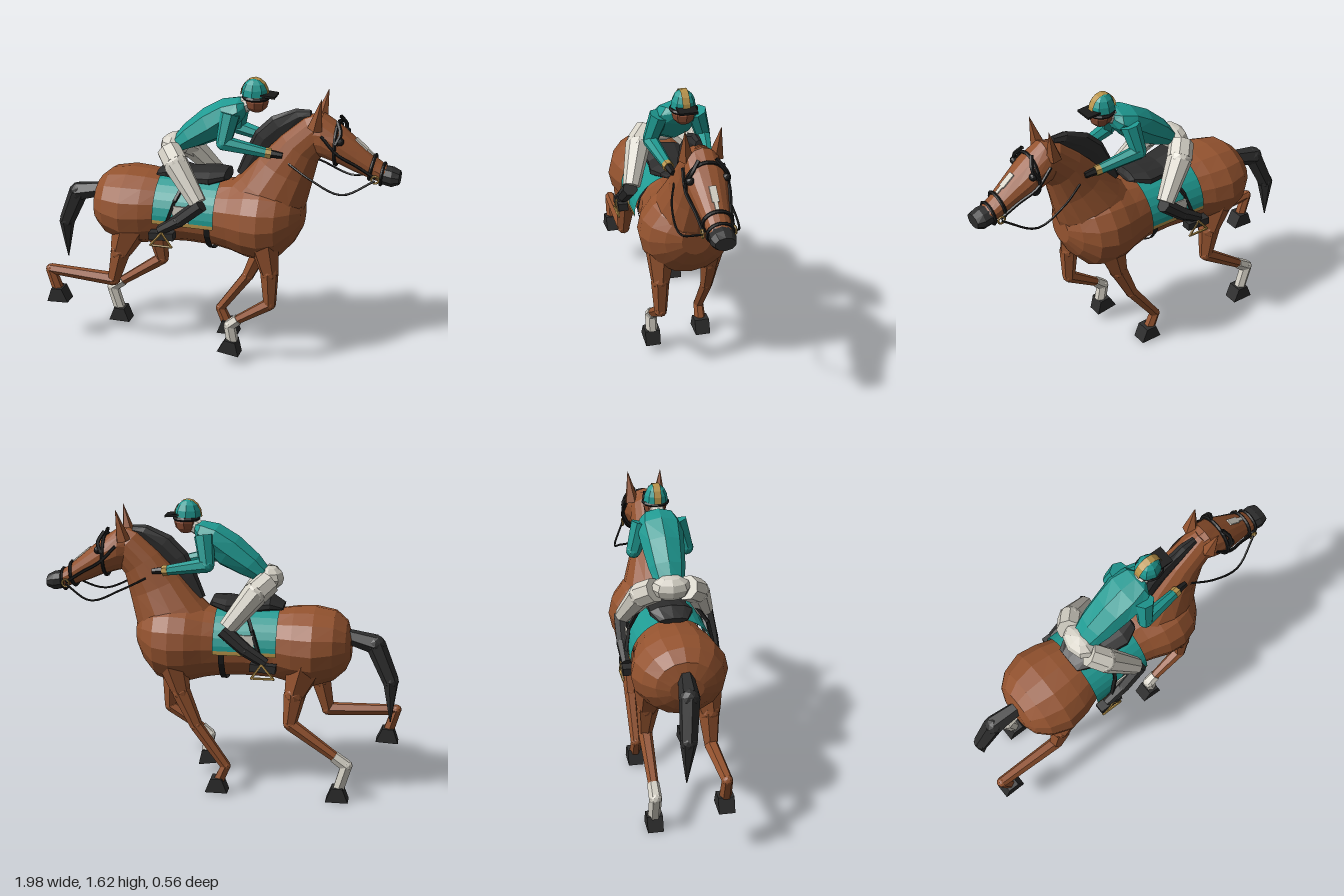
import * as THREE from 'three';

const mat = (name, color, side = THREE.FrontSide) =>
  Object.assign(new THREE.MeshStandardMaterial({ color, flatShading: true, side }), { name });

export function createModel() {
  const root = new THREE.Group();
  const coat = mat('chestnut coat', 0x94532f), black = mat('black hair and hooves', 0x2d2d2d);
  const leather = mat('dark leather', 0x1b1b1b, THREE.DoubleSide), teal = mat('teal silk', 0x1f9a92, THREE.DoubleSide);
  const white = mat('off white', 0xd5d1c6), gold = mat('gold', 0xb8934a, THREE.DoubleSide), skin = mat('skin', 0x8a4c33);
  const V = (x, y, z) => new THREE.Vector3(x, y, z);

  const add = (name, geo, m, pos = [0, 0, 0], rotZ = 0) => {
    const mesh = new THREE.Mesh(geo, m);
    mesh.name = name;
    mesh.position.set(...pos);
    mesh.rotation.z = rotZ;
    root.add(mesh);
    return mesh;
  };

  // Skin over elliptical rings: [topX, topY, bottomX, bottomY, halfWidth]
  const ringPoint = ([tx, ty, bx, by, w], a) => V((tx + bx) / 2 + (tx - bx) / 2 * Math.cos(a),
    (ty + by) / 2 + (ty - by) / 2 * Math.cos(a), w * Math.sin(a));
  const loft = (name, rings, m, sides = 14) => {
    const pos = [], idx = [], n = rings.length;
    rings.forEach(r => {
      for (let j = 0; j < sides; j++) pos.push(...ringPoint(r, j / sides * Math.PI * 2).toArray());
    });
    [rings[0], rings[n - 1]].forEach(r => pos.push((r[0] + r[2]) / 2, (r[1] + r[3]) / 2, 0));
    for (let j = 0; j < sides; j++) {
      const k = (j + 1) % sides, e = (n - 1) * sides;
      for (let i = 0; i < n - 1; i++) {
        const a = i * sides + j, b = i * sides + k;
        idx.push(a, b, a + sides, b, b + sides, a + sides);
      }
      idx.push(n * sides, k, j, n * sides + 1, e + j, e + k);
    }
    const g = new THREE.BufferGeometry();
    g.setAttribute('position', new THREE.Float32BufferAttribute(pos, 3));
    g.setIndex(idx);
    g.computeVertexNormals();
    return add(name, g, m);
  };

  // Chain of tapered segments through points [x, y, z, radius]
  const limb = (name, pts, m, sides = 6) => {
    for (let i = 0; i < pts.length - 1; i++) {
      const a = V(...pts[i]), b = V(...pts[i + 1]), d = b.clone().sub(a);
      const seg = add(name, new THREE.CylinderGeometry(pts[i + 1][3], pts[i][3], d.length(), sides), m,
        a.clone().add(b).multiplyScalar(0.5).toArray());
      seg.quaternion.setFromUnitVectors(V(0, 1, 0), d.normalize());
      if (i) add(name + 'Joint', new THREE.IcosahedronGeometry(pts[i][3] * 0.97, 1), m, pts[i].slice(0, 3));
    }
  };
  const tube = (name, pts, r, m, closed = false, n = 16) =>
    add(name, new THREE.TubeGeometry(new THREE.CatmullRomCurve3(pts, closed, 'centripetal'), n, r, 5, closed), m);
  const strap = (name, ring, r) =>
    tube(name, Array.from({ length: 12 }, (_, i) => ringPoint(ring, i / 12 * Math.PI * 2)), r, leather, true, 24);

  // Thin sheet wrapped over the back between two angles
  const drape = (name, x0, x1, a0, a1, ry, rz, m) => {
    const g = new THREE.PlaneGeometry(1, 1, 2, 16), p = g.attributes.position;
    for (let i = 0; i < p.count; i++) {
      const a = THREE.MathUtils.degToRad(a0 + (a1 - a0) * (p.getY(i) + 0.5));
      p.setXYZ(i, x0 + (x1 - x0) * (p.getX(i) + 0.5), 0.838 + ry * Math.cos(a), rz * Math.sin(a));
    }
    g.computeVertexNormals();
    return add(name, g, m);
  };
  const hoof = (x, y, z, tilt) => {
    const g = new THREE.BoxGeometry(0.125, 0.08, 0.085), p = g.attributes.position;
    for (let i = 0; i < p.count; i++) if (p.getY(i) > 0) p.setX(i, p.getX(i) * 0.5);
    add('hoof', g, black, [x, y, z], tilt);
  };

  // Horse body, neck and head
  const barrel = [[-0.7, 0.9, 0.77, 0.09], [-0.675, 0.98, 0.71, 0.16], [-0.61, 1.035, 0.65, 0.22], [-0.5, 1.055, 0.615, 0.258],
    [-0.39, 1.05, 0.625, 0.24], [-0.29, 1.035, 0.65, 0.205], [-0.15, 1.02, 0.655, 0.185], [0, 1.02, 0.65, 0.185],
    [0.1, 1.04, 0.635, 0.215], [0.19, 1.07, 0.61, 0.25], [0.28, 1.08, 0.6, 0.26], [0.37, 1.06, 0.63, 0.23],
    [0.44, 1.02, 0.71, 0.16], [0.485, 0.96, 0.8, 0.08]];
  loft('body', barrel.map(([x, t, b, w]) => [x, t, x, b, w]), coat, 16);
  loft('neck', [[0.04, 0.99, 0.43, 0.76, 0.2], [0.13, 1.08, 0.5, 0.94, 0.165], [0.235, 1.2, 0.53, 1.07, 0.12],
    [0.36, 1.335, 0.56, 1.2, 0.095], [0.48, 1.44, 0.62, 1.28, 0.085], [0.54, 1.46, 0.64, 1.34, 0.06]], coat);
  loft('head', [[0.49, 1.44, 0.54, 1.23, 0.075], [0.58, 1.465, 0.59, 1.22, 0.1], [0.68, 1.4, 0.68, 1.195, 0.105],
    [0.78, 1.32, 0.76, 1.16, 0.085], [0.88, 1.235, 0.86, 1.125, 0.065], [0.93, 1.2, 0.92, 1.11, 0.06]], coat);
  loft('muzzle', [[0.915, 1.205, 0.9, 1.105, 0.063], [0.96, 1.2, 0.96, 1.093, 0.068], [1, 1.18, 1, 1.11, 0.055]], black, 10);
  loft('mane', [[0.11, 1.09, 0.18, 1.06, 0.022], [0.16, 1.22, 0.25, 1.16, 0.03], [0.21, 1.33, 0.32, 1.26, 0.032],
    [0.3, 1.42, 0.39, 1.32, 0.032], [0.43, 1.475, 0.47, 1.4, 0.03], [0.51, 1.475, 0.52, 1.42, 0.02]], black, 8);
  add('blaze', new THREE.BoxGeometry(0.085, 0.008, 0.036), white, [0.79, 1.313, 0], -0.7);
  add('blazeTip', new THREE.BoxGeometry(0.05, 0.008, 0.02), white, [0.835, 1.275, 0], -0.7);
  limb('tail', [[-0.66, 0.9, 0, 0.04], [-0.83, 0.86, -0.015, 0.055], [-0.92, 0.66, -0.035, 0.045], [-0.925, 0.43, -0.045, 0.003]], black);

  // Legs, in a gallop
  limb('frontLeg', [[0.3, 0.76, 0.15, 0.085], [0.34, 0.58, 0.16, 0.052], [0.345, 0.39, 0.16, 0.036], [0.16, 0.265, 0.16, 0.026]], coat);
  limb('frontSock', [[0.165, 0.268, 0.16, 0.032], [0.115, 0.225, 0.16, 0.034], [0.132, 0.13, 0.16, 0.034]], white);
  hoof(0.12, 0.1, 0.16, -0.15);
  limb('frontLeg', [[0.27, 0.76, -0.15, 0.085], [0.22, 0.58, -0.155, 0.052], [0.135, 0.39, -0.16, 0.036],
    [-0.03, 0.16, -0.16, 0.029], [0.01, 0.07, -0.16, 0.033]], coat);
  hoof(0.02, 0.052, -0.16, 0);
  limb('hindLeg', [[-0.46, 0.76, 0.13, 0.11], [-0.52, 0.6, 0.155, 0.062], [-0.565, 0.42, 0.16, 0.038],
    [-0.95, 0.435, 0.16, 0.03], [-0.91, 0.31, 0.16, 0.033]], coat);
  hoof(-0.905, 0.287, 0.16, 0.05);
  limb('hindLeg', [[-0.46, 0.76, -0.13, 0.11], [-0.41, 0.6, -0.155, 0.062], [-0.385, 0.43, -0.165, 0.038], [-0.64, 0.25, -0.165, 0.028]], coat);
  limb('hindSock', [[-0.63, 0.255, -0.165, 0.033], [-0.7, 0.205, -0.165, 0.035], [-0.66, 0.07, -0.165, 0.034]], white);
  hoof(-0.652, 0.04, -0.165, 0);

  // Saddle, cloth and girth
  drape('saddleCloth', -0.31, 0.035, -94, 94, 0.213, 0.225, teal);
  drape('girth', -0.025, 0.008, -180, 180, 0.207, 0.2, leather);
  loft('saddle', [[-0.33, 1.065, -0.325, 1.035, 0.08], [-0.26, 1.11, -0.26, 1.03, 0.12], [-0.14, 1.085, -0.14, 1.01, 0.11],
    [-0.02, 1.1, -0.02, 1.01, 0.13], [0.06, 1.1, 0.06, 1.04, 0.09], [0.075, 1.07, 0.075, 1.045, 0.06]], black, 10);

  // Bridle straps around the head
  strap('noseband', [0.865, 1.255, 0.84, 1.125, 0.076], 0.01);
  strap('bitStrap', [0.915, 1.215, 0.9, 1.1, 0.068], 0.009);
  strap('crownStrap', [0.665, 1.425, 0.66, 1.19, 0.111], 0.01);

  // Rider: torso, neck, head and cap
  loft('torso', [[-0.25, 1.25, -0.17, 1.19, 0.08], [-0.19, 1.33, -0.08, 1.22, 0.1], [-0.08, 1.43, 0.03, 1.27, 0.115],
    [0.03, 1.495, 0.1, 1.34, 0.125], [0.12, 1.51, 0.15, 1.4, 0.1], [0.155, 1.5, 0.165, 1.44, 0.05]], teal, 8);
  limb('collar', [[0.13, 1.46, 0, 0.045], [0.19, 1.492, 0, 0.04]], white, 8);
  add('riderHead', new THREE.SphereGeometry(0.065, 8, 6), skin, [0.217, 1.5, 0]);
  add('cap', new THREE.SphereGeometry(0.073, 8, 4, 0, Math.PI * 2, 0, Math.PI / 2), teal, [0.205, 1.53, 0]).scale.set(1, 1.26, 0.92);
  add('capStripe', new THREE.CylinderGeometry(0.0755, 0.0755, 0.04, 8, 1, true, Math.PI / 2, Math.PI).rotateX(Math.PI / 2),
    gold, [0.205, 1.53, 0]).scale.y = 1.25;
  add('goggleBand', new THREE.TorusGeometry(0.066, 0.011, 5, 12).rotateX(Math.PI / 2), leather, [0.213, 1.52, 0]);
  add('capPeak', new THREE.BoxGeometry(0.08, 0.012, 0.1), leather, [0.285, 1.538, 0], -0.08);
  add('riderSeat', new THREE.SphereGeometry(0.075, 8, 6), white, [-0.245, 1.205, 0]).scale.set(1.05, 0.9, 1.45);

  for (const s of [1, -1]) {
    // Ears, eyes, cheek straps and reins
    const ear = add('ear', new THREE.ConeGeometry(0.042, 0.18, 5), coat, [0.57, 1.485, s * 0.085], -0.2);
    ear.rotation.x = s * 0.1;
    add('eye', new THREE.IcosahedronGeometry(0.022, 1), leather, [0.69, 1.345, s * 0.094]);
    tube('cheekStrap', [V(0.59, 1.37, s * 0.105), V(0.68, 1.28, s * 0.113), V(0.78, 1.22, s * 0.092), V(0.88, 1.155, s * 0.076)], 0.009, leather);
    tube('browStrap', [V(0.665, 1.44, s * 0.045), V(0.69, 1.385, s * 0.088), V(0.67, 1.33, s * 0.112)], 0.011, leather);
    tube('rein', [V(0.42, 1.2, s * 0.105), V(0.55, 1.14, s * 0.15), V(0.72, 1.075, s * 0.155), V(0.88, 1.145, s * 0.085)], 0.006, leather);
    add('bitRing', new THREE.TorusGeometry(0.02, 0.006, 5, 10), gold, [0.88, 1.15, s * 0.083]);

    // Cloth trim, white panel, stirrup leather and stirrup
    drape('clothTrim', -0.31, 0.035, s * 89, s * 95, 0.216, 0.229, gold);
    add('clothPanel', new THREE.BoxGeometry(0.09, 0.1, 0.008), white, [-0.145, 0.885, s * 0.224]);
    limb('stirrupLeather', [[-0.14, 1.05, s * 0.15, 0.012], [-0.18, 0.96, s * 0.215, 0.012], [-0.24, 0.78, s * 0.25, 0.012]], leather, 4);
    limb('stirrup', [[-0.24, 0.79, s * 0.268, 0.007], [-0.305, 0.71, s * 0.268, 0.007], [-0.185, 0.71, s * 0.268, 0.007],
      [-0.24, 0.79, s * 0.268, 0.007]], gold, 5);

    // Rider leg and boot
    limb('riderThigh', [[-0.25, 1.2, s * 0.085, 0.068], [-0.19, 1.15, s * 0.15, 0.07], [-0.045, 0.97, s * 0.225, 0.048]], white, 8);
    limb('boot', [[-0.025, 0.965, s * 0.235, 0.042], [-0.15, 0.86, s * 0.243, 0.038], [-0.26, 0.79, s * 0.243, 0.028]], black, 7);
    add('bootFoot', new THREE.BoxGeometry(0.14, 0.042, 0.055), black, [-0.245, 0.765, s * 0.243], 0.06);

    // Rider arm, cuff and glove
    limb('sleeve', [[0.1, 1.445, s * 0.1, 0.055], [0.075, 1.295, s * 0.145, 0.042], [0.3, 1.25, s * 0.11, 0.028]], teal, 7);
    limb('cuff', [[0.295, 1.251, s * 0.111, 0.03], [0.325, 1.247, s * 0.106, 0.029]], gold, 7);
    limb('glove', [[0.32, 1.248, s * 0.107, 0.023], [0.385, 1.24, s * 0.1, 0.016]], leather, 6);
  }
  return root;
}
